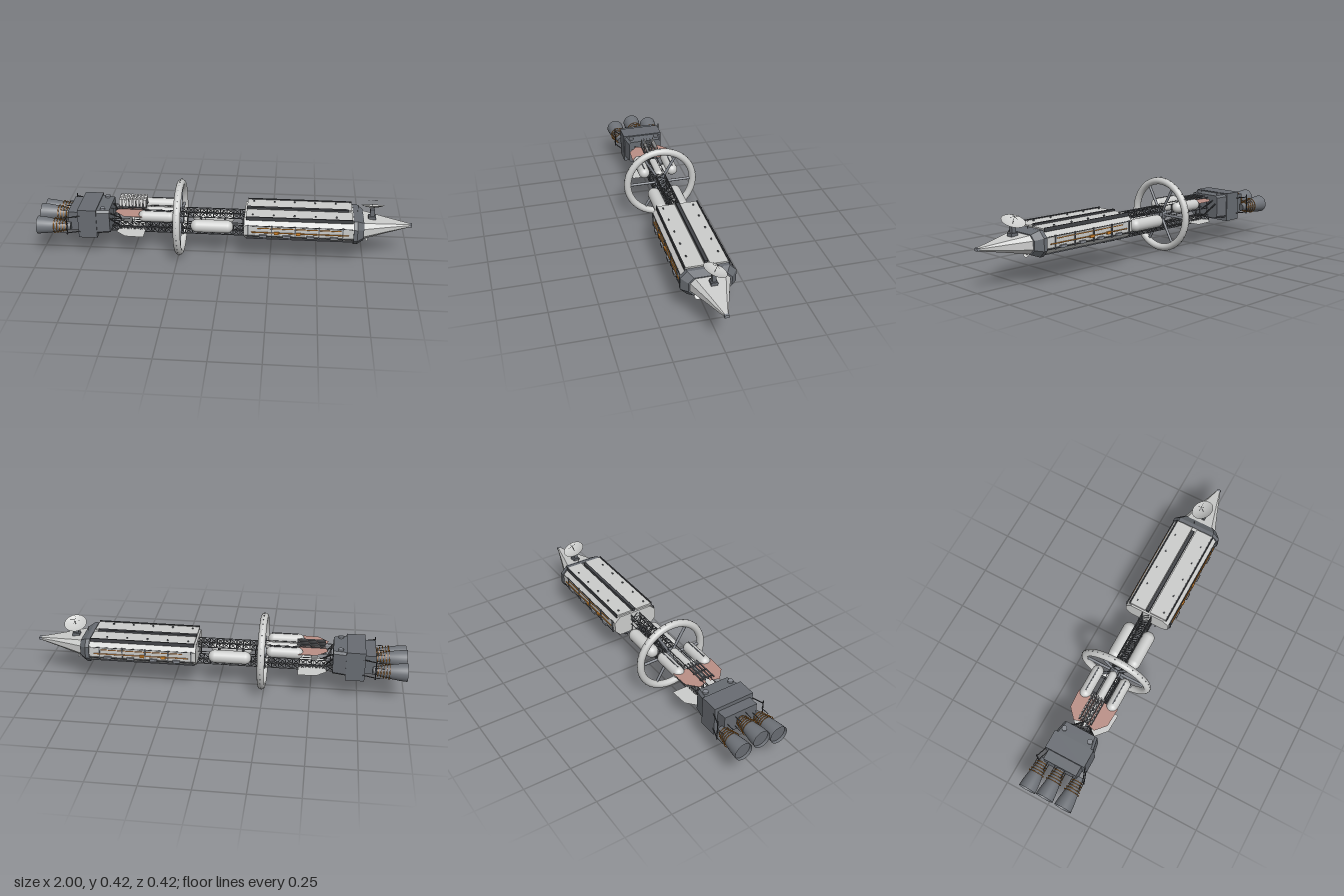
import * as THREE from 'three';
import { mergeGeometries } from 'three/addons/utils/BufferGeometryUtils.js';

const mat = (name, color, extra = {}) => Object.assign(new THREE.MeshStandardMaterial({ color, ...extra }), { name });

// A box from its limits
function block(x0, x1, y0, y1, z0, z1) {
  return new THREE.BoxGeometry(x1 - x0, y1 - y0, z1 - z0).translate((x0 + x1) / 2, (y0 + y1) / 2, (z0 + z1) / 2);
}
// A round bar between two points
function bar(a, b, r, sides = 5) {
  const A = new THREE.Vector3(...a), B = new THREE.Vector3(...b), d = B.clone().sub(A);
  const q = new THREE.Quaternion().setFromUnitVectors(new THREE.Vector3(0, 1, 0), d.clone().normalize());
  const m = A.add(B).multiplyScalar(0.5);
  return new THREE.CylinderGeometry(r, r, d.length(), sides).applyQuaternion(q).translate(m.x, m.y, m.z);
}
// Loft of chamfered rectangles along x: each section is [x, centreY, halfHeight, halfWidth, chamfer]
function loft(sections) {
  const rings = sections.map(([x, cy, h, w, c]) => [
    [-w + c, h], [w - c, h], [w, h - c], [w, c - h], [w - c, -h], [c - w, -h], [-w, c - h], [-w, h - c],
  ].map(([z, y]) => [x, cy + y, z]));
  const p = [], tri = (...v) => v.forEach(q => p.push(...q));
  for (let k = 0; k + 1 < rings.length; k++) {
    const a = rings[k], b = rings[k + 1];
    for (let i = 0; i < 8; i++) {
      const j = (i + 1) % 8;
      tri(a[i], a[j], b[j]);
      tri(a[i], b[j], b[i]);
    }
  }
  const s = rings[0], e = rings[rings.length - 1];
  for (let i = 1; i < 7; i++) {
    tri(e[0], e[i], e[i + 1]);
    tri(s[0], s[i + 1], s[i]);
  }
  const g = new THREE.BufferGeometry();
  g.setAttribute('position', new THREE.Float32BufferAttribute(p, 3));
  g.computeVertexNormals();
  return g;
}

export function createModel() {
  const root = new THREE.Group();
  const light = mat('light hull grey', 0xcccdcc);
  const panel = mat('light panel grey', 0xcccdcc, { side: THREE.DoubleSide });
  const slat = mat('pale slat grey', 0xececec);
  const steel = mat('blue grey steel', 0x686c72);
  const spokeGrey = mat('spoke grey', 0x858990);
  const trussGrey = mat('truss grey', 0x5c5f64);
  const dark = mat('dark grey', 0x424448);
  const bell = mat('engine grey', 0x70747a, { side: THREE.DoubleSide });
  const orange = mat('orange', 0xd5852a);
  const pink = mat('dull red panel', 0xba8f86, { side: THREE.DoubleSide });
  const add = (name, geo, m) => {
    const mesh = new THREE.Mesh(Array.isArray(geo) ? mergeGeometries(geo) : geo, m);
    mesh.name = name;
    root.add(mesh);
    return mesh;
  };

  // Cargo hull, collar and nose
  add('hull', loft([[0.11, 0.213, 0.059, 0.128, 0.032], [0.69, 0.213, 0.06, 0.131, 0.034]]), light);
  add('hullUnderside', block(0.12, 0.685, 0.148, 0.154, -0.098, 0.098), steel);
  add('collar', loft([[0.685, 0.21, 0.066, 0.139, 0.034], [0.705, 0.21, 0.066, 0.139, 0.034], [0.74, 0.207, 0.05, 0.108, 0.026]]), steel);
  add('nose', loft([[0.738, 0.207, 0.046, 0.1, 0.024], [0.86, 0.21, 0.027, 0.055, 0.014], [0.985, 0.213, 0.008, 0.012, 0.004]]), light);
  add('noseTip', block(0.975, 0.998, 0.206, 0.221, -0.011, 0.011), spokeGrey);

  // Roof plates with a raised dark centre rail and thin dark edges
  const plates = [], rails = [block(0.12, 0.66, 0.27, 0.289, -0.011, 0.006)];
  const boxes = [], clamps = [], lamps = [], pipes = [];
  for (const s of [-1, 1]) {
    plates.push(block(0.12, 0.68, 0.268, 0.281, s > 0 ? 0.012 : -0.106, s > 0 ? 0.106 : -0.016));
    rails.push(block(0.12, 0.68, 0.266, 0.286, s * 0.11 - 0.003, s * 0.11 + 0.003));
    // Side pipes, boxes and lamp strips
    for (const y of [0.182, 0.243]) pipes.push(bar([0.12, y, s * 0.131], [0.68, y, s * 0.133], 0.002));
    for (let i = 0; i < 9; i++) {
      const x = 0.13 + i * 0.062;
      if (i % 2) boxes.push(block(x, x + 0.04, 0.18, 0.194, s * 0.136 - 0.005, s * 0.136 + 0.005));
      else clamps.push(block(x, x + 0.006, 0.176, 0.246, s * 0.132 - 0.003, s * 0.132 + 0.003));
    }
    lamps.push(bar([0.15, 0.206, s * 0.132], [0.66, 0.206, s * 0.134], 0.0032));
    lamps.push(bar([0.18, 0.23, s * 0.131], [0.62, 0.23, s * 0.133], 0.0026));
    for (const x of [0.27, 0.385]) lamps.push(block(x, x + 0.025, 0.198, 0.212, s * 0.135 - 0.004, s * 0.135 + 0.004));
    for (let i = 0; i < 5; i++) clamps.push(block(0.15 + i * 0.11, 0.158 + i * 0.11, 0.28, 0.288, s * 0.08 - 0.003, s * 0.08 + 0.003));
  }
  add('roofPlates', plates, light);
  add('roofRails', rails, dark);
  add('sideBoxes', boxes, spokeGrey);
  add('sideClamps', clamps, steel);
  add('sidePipes', pipes, dark);
  add('sideLamps', lamps, orange);

  // Ladder-like tray under the rear of the hull
  const tray = [-1, 1].map(s => bar([0.11, 0.138, s * 0.05], [0.26, 0.138, s * 0.05], 0.004));
  for (let i = 0; i < 6; i++) tray.push(block(0.12 + i * 0.024, 0.132 + i * 0.024, 0.134, 0.15, -0.06, 0.06));
  add('underTray', tray, steel);

  // Main dish on its post, and two small dishes beneath the nose
  const dishShape = r => new THREE.LatheGeometry([0, 0.25, 0.5, 0.75, 1].map(t => new THREE.Vector2(t * r, r * 0.22 * t * t)), 28);
  add('dishPost', [block(0.765, 0.805, 0.245, 0.262, -0.017, 0.017), block(0.773, 0.797, 0.26, 0.3, -0.01, 0.01)], steel);
  const dish = new THREE.Group();
  dish.name = 'dish';
  const bowl = new THREE.Mesh(dishShape(0.061), panel);
  bowl.name = 'dishBowl';
  const feed = new THREE.Mesh(mergeGeometries([
    bar([-0.025, 0.038, 0], [0.025, 0.038, 0], 0.0009),
    bar([0, 0.038, -0.025], [0, 0.038, 0.025], 0.0009),
    bar([0, 0, 0], [0, 0.038, 0], 0.0009),
  ]), dark);
  feed.name = 'dishFeed';
  dish.add(bowl, feed);
  dish.position.set(0.785, 0.308, -0.003);
  dish.rotation.x = -0.4;
  root.add(dish);
  for (const s of [-1, 1]) {
    const small = add('smallDish', dishShape(0.017), panel);
    small.position.set(0.752, 0.16, s * 0.065);
    small.rotation.set(s * 0.3, 0, -0.9);
    add('smallDishArm', bar([0.72, 0.168, s * 0.065], [0.754, 0.16, s * 0.065], 0.003), dark);
  }
  add('mast', bar([0.71, 0.27, -0.02], [0.71, 0.312, -0.02], 0.001), dark);

  // Lattice spine: a lower beam along its whole length, an upper beam ahead of the ring
  const truss = [];
  function beam(x0, x1, y0, y1, w, n) {
    const r = 0.0026, step = (x1 - x0) / n;
    for (const y of [y0, y1]) for (const z of [-w, w]) truss.push(bar([x0, y, z], [x1, y, z], r));
    for (let i = 0; i <= n; i++) {
      const x = x0 + i * step, e = x + step;
      for (const z of [-w, w]) {
        truss.push(bar([x, y0, z], [x, y1, z], r * 0.7));
        if (i < n) truss.push(bar([x, y0, z], [e, y1, z], r * 0.7), bar([x, y1, z], [e, y0, z], r * 0.7));
      }
      for (const y of [y0, y1]) {
        truss.push(bar([x, y, -w], [x, y, w], r * 0.7));
        if (i < n) truss.push(bar([x, y, -w], [e, y, w], r * 0.7));
      }
    }
  }
  beam(-0.62, 0.12, 0.128, 0.16, 0.026, 20);
  beam(-0.24, 0.12, 0.228, 0.258, 0.026, 10);
  for (const z of [-0.026, 0.026]) {
    truss.push(bar([-0.62, 0.2, z], [0.12, 0.2, z], 0.0025), bar([-0.62, 0.262, z], [-0.24, 0.262, z], 0.002));
    for (let i = 0; i < 8; i++) truss.push(bar([-0.6 + i * 0.1, 0.16, z], [-0.6 + i * 0.1, i < 4 ? 0.262 : 0.228, z], 0.0018));
  }
  add('spineTruss', truss, trussGrey);

  // Long tanks
  const tank = (x0, x1, y, z, r) => new THREE.CapsuleGeometry(r, x1 - x0 - 2 * r, 8, 20).rotateZ(Math.PI / 2).translate((x0 + x1) / 2, y, z);
  const tanks = [tank(-0.43, -0.25, 0.245, 0, 0.022)], saddles = [];
  for (const s of [-1, 1]) {
    tanks.push(tank(-0.18, 0.05, 0.193, s * 0.058, 0.035), tank(-0.455, -0.26, 0.252, s * 0.08, 0.031));
    for (const x of [-0.13, 0]) saddles.push(bar([x, 0.2, 0], [x, 0.194, s * 0.04], 0.006));
    for (const x of [-0.4, -0.3]) saddles.push(bar([x, 0.2, 0], [x, 0.245, s * 0.07], 0.005));
    saddles.push(block(-0.42, -0.28, 0.262, 0.285, s * 0.08 - 0.003, s * 0.08 + 0.003));
  }
  add('tanks', tanks, light);
  add('tankSaddles', saddles, trussGrey);

  // Habitat ring with six spokes
  const rx = -0.24, ry = 0.211, R = 0.187;
  add('ring', new THREE.TorusGeometry(R, 0.0195, 16, 64).rotateY(Math.PI / 2).translate(rx, ry, 0), light);
  const spokes = [bar([rx - 0.018, ry, 0], [rx + 0.018, ry, 0], 0.032, 16)], knobs = [];
  for (let i = 0; i < 6; i++) {
    const a = i * Math.PI / 3;
    spokes.push(bar([rx, ry, 0], [rx, ry + R * Math.sin(a), R * Math.cos(a)], 0.0075, 8));
  }
  for (let i = 0; i < 36; i++) {
    const a = i * Math.PI / 18, k = R + 0.0195;
    knobs.push(new THREE.BoxGeometry(0.005, 0.003, 0.003).rotateX(Math.PI / 2 - a).translate(rx, ry + k * Math.sin(a), k * Math.cos(a)));
  }
  knobs.push(new THREE.SphereGeometry(0.003, 8, 6).translate(rx, ry + 0.209, 0));
  add('spokes', spokes, spokeGrey);
  add('ringKnobs', knobs, steel);

  // Rows of pale slats, each a bare face towards the front, on dark runners
  const slats = [], runners = [];
  for (let row = 0; row < 5; row++) {
    const z = -0.034 + row * 0.017;
    runners.push(bar([-0.57, 0.277, z], [-0.42, 0.277, z], 0.004));
    for (let i = 0; i < 8; i++) slats.push(new THREE.PlaneGeometry(0.0145, 0.044).translate(-0.559 + i * 0.0187, 0.302, z));
  }
  for (const x of [-0.55, -0.495, -0.44]) runners.push(bar([x, 0.268, -0.036], [x, 0.268, 0.036], 0.004));
  add('coolingSlats', slats, slat);
  add('slatRunners', runners, trussGrey);

  // Kite-shaped heat panels, upper and lower pairs
  for (const s of [-1, 1]) {
    const shape = new THREE.Shape([[-0.585, 0.06], [-0.53, 0.11], [-0.43, 0.115], [-0.43, 0.012], [-0.57, 0.012]].map(([x, z]) => new THREE.Vector2(x, s * z)));
    const sheet = new THREE.ShapeGeometry(shape).rotateX(Math.PI / 2);
    add('upperHeatPanel', sheet.clone().translate(0, 0.26, 0), pink);
    add('lowerHeatPanel', sheet.translate(0, 0.14, 0), panel);
  }

  // Engine housing
  add('engineHousing', [
    block(-0.78, -0.68, 0.124, 0.286, -0.113, 0.113),
    loft([[-0.68, 0.212, 0.068, 0.108, 0.012], [-0.612, 0.212, 0.066, 0.095, 0.012]]),
    block(-0.835, -0.78, 0.16, 0.265, -0.095, 0.095),
  ].map(g => (g.deleteAttribute('uv'), g.index ? g.toNonIndexed() : g)), steel);
  const frame = [], caps = [];
  for (const s of [-1, 1]) {
    for (const y of [0.16, 0.25]) frame.push(bar([-0.835, y, s * 0.135], [-0.76, y, s * 0.108], 0.003));
    frame.push(bar([-0.835, 0.15, s * 0.135], [-0.835, 0.265, s * 0.135], 0.003));
    frame.push(bar([-0.64, 0.27, s * 0.08], [-0.56, 0.2, s * 0.02], 0.004));
    frame.push(bar([-0.62, 0.24, s * 0.09], [-0.57, 0.16, s * 0.026], 0.004));
    caps.push(bar([-0.65, 0.27, s * 0.075], [-0.65, 0.289, s * 0.075], 0.014, 12));
  }
  add('engineFrame', frame, dark);
  add('housingCaps', caps, spokeGrey);

  // Three engine bells with wound coils, the middle one set higher
  const profile = [[0.02, 0], [0.024, 0.03], [0.031, 0.06], [0.039, 0.1], [0.045, 0.14], [0.048, 0.178]];
  const coils = [], throats = [], mouths = [];
  for (const [y, z] of [[0.187, -0.104], [0.212, 0], [0.187, 0.104]]) {
    const g = new THREE.LatheGeometry(profile.map(p => new THREE.Vector2(...p)), 28).rotateZ(Math.PI / 2).translate(-0.822, y, z);
    add('engineBell', g, bell);
    mouths.push(new THREE.CircleGeometry(0.0465, 28).rotateY(-Math.PI / 2).translate(-0.985, y, z));
    throats.push(bar([-0.85, y, z], [-0.82, y, z], 0.02, 16));
    for (let i = 0; i < 5; i++) {
      coils.push(new THREE.TorusGeometry(0.028 + i * 0.0034, 0.002, 6, 24).rotateY(Math.PI / 2).translate(-0.846 - i * 0.015, y, z));
    }
    for (let i = 0; i < 4; i++) {
      const a = Math.PI / 4 + i * Math.PI / 2, c = 0.041 * Math.cos(a), s = 0.041 * Math.sin(a);
      throats.push(bar([-0.83, y + s, z + c], [-0.88, y + s, z + c], 0.002));
    }
  }
  add('bellMouths', mouths, steel);
  add('bellCoils', coils, orange);
  add('bellThroats', throats, trussGrey);
  return root;
}
